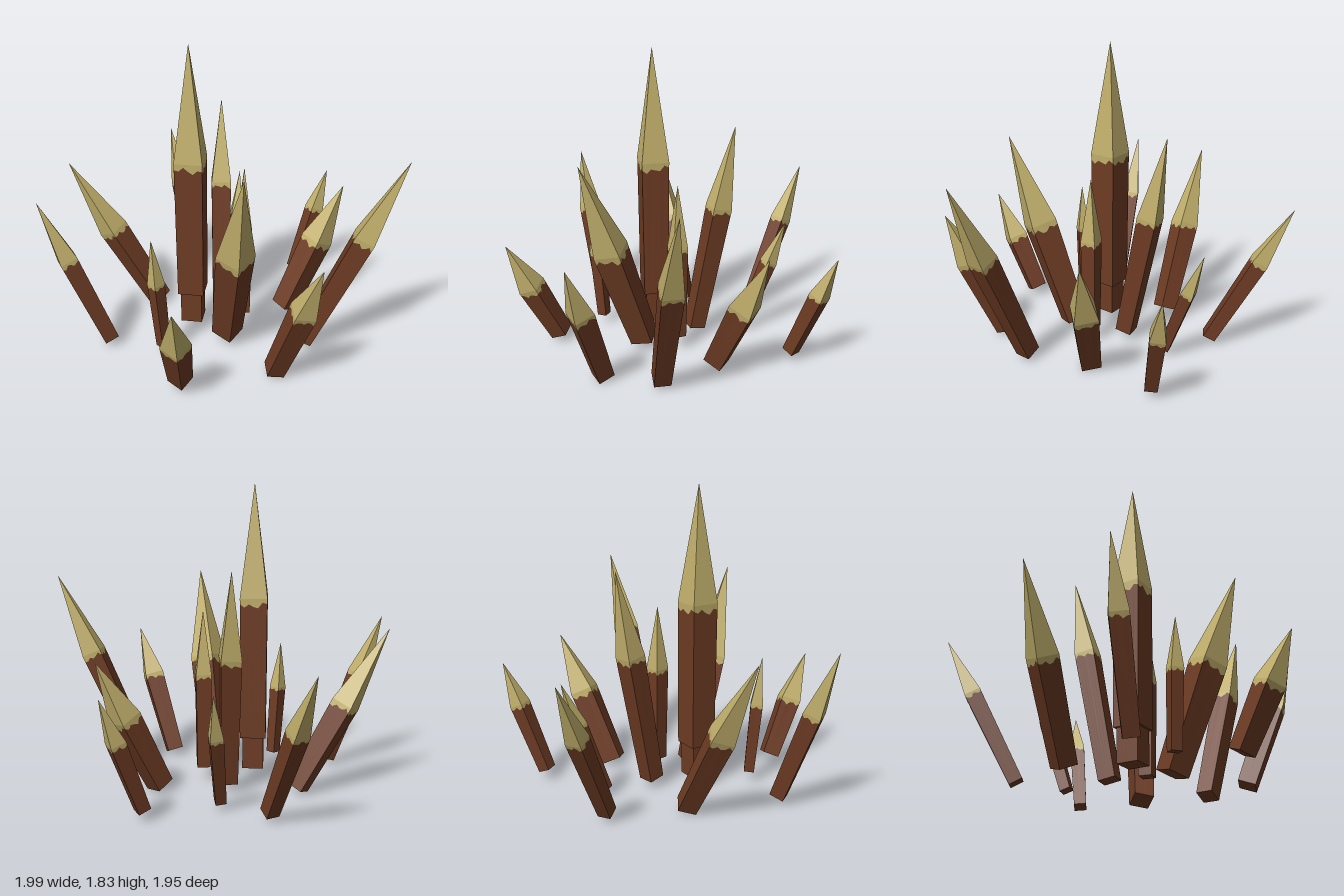
import * as THREE from 'three';

const SEG = 6; // points along each side of the square section

// Square ring of points; r is the half diagonal, yAt gives the height of each point
function ring(r, yAt) {
  const pts = [];
  const corner = (k) => new THREE.Vector3(
    r * Math.cos(Math.PI / 4 + k * Math.PI / 2), 0, -r * Math.sin(Math.PI / 4 + k * Math.PI / 2));
  for (let k = 0; k < 4; k++) {
    for (let s = 0; s < SEG; s++) {
      const p = corner(k).lerp(corner(k + 1), s / SEG);
      p.y = yAt(k * SEG + s);
      pts.push(p);
    }
  }
  return pts;
}

// Flat-faced skin through a stack of rings, optionally closed at the bottom
function loft(rings, capBottom) {
  const pos = [];
  const tri = (...vs) => vs.forEach((v) => pos.push(v.x, v.y, v.z));
  const n = rings[0].length;
  for (let j = 0; j + 1 < rings.length; j++) {
    const lo = rings[j], hi = rings[j + 1];
    for (let i = 0; i < n; i++) {
      const m = (i + 1) % n;
      tri(lo[i], lo[m], hi[m]);
      if (hi[i].distanceTo(hi[m]) > 1e-6) tri(lo[i], hi[m], hi[i]);
    }
  }
  if (capBottom) {
    const c = new THREE.Vector3(0, rings[0][0].y, 0);
    for (let i = 0; i < n; i++) tri(c, rings[0][(i + 1) % n], rings[0][i]);
  }
  const g = new THREE.BufferGeometry();
  g.setAttribute('position', new THREE.Float32BufferAttribute(pos, 3));
  g.computeVertexNormals();
  return g;
}

// base centre, tip, half diagonal at the shoulder, edge angle (degrees), shoulder fraction
const STAKES = [
  { base: [-0.09, 0.08, 0.21], tip: [-0.09, 1.835, 0.21], r: 0.118, turn: 55, at: 0.61, taper: 0.94, foot: 0.2 },
  { base: [0.11, 0.1, -0.035], tip: [0.11, 1.08, -0.035], r: 0.067, turn: 45, at: 0.6 },
  { base: [-0.11, 0.06, -0.06], tip: [-0.28, 1.36, -0.25], r: 0.086, turn: -45, at: 0.61 },
  { base: [-0.265, 0.05, -0.33], tip: [-0.4, 0.74, -0.555], r: 0.054, turn: -49, at: 0.62 },
  { base: [-0.58, 0.05, -0.285], tip: [-1, 0.92, -0.48], r: 0.068, turn: -67, at: 0.61 },
  { base: [-0.03, 0.065, -0.72], tip: [0.02, 0.735, -0.98], r: 0.064, turn: 23, at: 0.62 },
  { base: [0.21, 0.04, -0.325], tip: [0.37, 0.83, -0.68], r: 0.1, turn: 7, at: 0.56 },
  { base: [0.54, 0.05, -0.11], tip: [0.99, 1.26, -0.41], r: 0.086, turn: 57, at: 0.6 },
  { base: [0.6, 0.035, 0.235], tip: [0.935, 0.84, 0.26], r: 0.086, turn: -53, at: 0.62 },
  { base: [0.165, 0.07, 0.17], tip: [0.5, 1.26, 0.4], r: 0.115, turn: -8, at: 0.54 },
  { base: [0.29, 0.06, 0.69], tip: [0.49, 0.69, 0.925], r: 0.087, turn: -6, at: 0.55 },
  { base: [-0.01, 0.07, 0.54], tip: [-0.02, 0.8, 0.6], r: 0.052, turn: 4, at: 0.6 },
  { base: [-0.32, 0.055, 0.695], tip: [-0.555, 0.985, 0.97], r: 0.074, turn: 23, at: 0.6 },
  { base: [-0.46, 0.04, 0.16], tip: [-0.85, 1, 0.52], r: 0.092, turn: -6, at: 0.53 },
];

export function createModel() {
  const wood = new THREE.MeshStandardMaterial({ color: 0x6e3c24 });
  wood.name = 'brown bark';
  const cut = new THREE.MeshStandardMaterial({ color: 0xc2b06c });
  cut.name = 'pale cut wood';

  const root = new THREE.Group();
  root.name = 'sharpenedStakes';

  STAKES.forEach(({ base, tip, r, turn, at, taper = 0.83, foot = 0 }, id) => {
    const from = new THREE.Vector3(...base);
    const axis = new THREE.Vector3(...tip).sub(from);
    const len = axis.length();
    const shoulder = len * at;

    // Uneven line where the bark ends, just under the shoulder
    const edge = (i) => shoulder - r * (0.34 + 0.13 * Math.sin(i * 2.1 + id) + 0.08 * Math.sin(i * 0.9 + id * 2));
    const barkTop = ring(r * 0.99, edge);

    const stake = new THREE.Group();
    stake.name = 'stake' + (id + 1);
    const add = (name, geometry, material) => {
      const mesh = new THREE.Mesh(geometry, material);
      mesh.name = name;
      stake.add(mesh);
    };
    add('shaft', loft([ring(r * taper, () => foot), barkTop], true), wood);
    add('point', loft([barkTop, ring(r, () => shoulder), ring(0, () => len)], false), cut);
    // Narrower foot under the tallest stake
    if (foot) add('foot', loft([ring(r * 0.77, () => 0), ring(r * 0.77, () => foot)], true), wood);

    // Lean along the axis after turning the square section
    stake.position.copy(from);
    stake.quaternion.setFromUnitVectors(new THREE.Vector3(0, 1, 0), axis.normalize());
    stake.rotateY(-THREE.MathUtils.degToRad(turn));
    root.add(stake);
  });
  return root;
}
